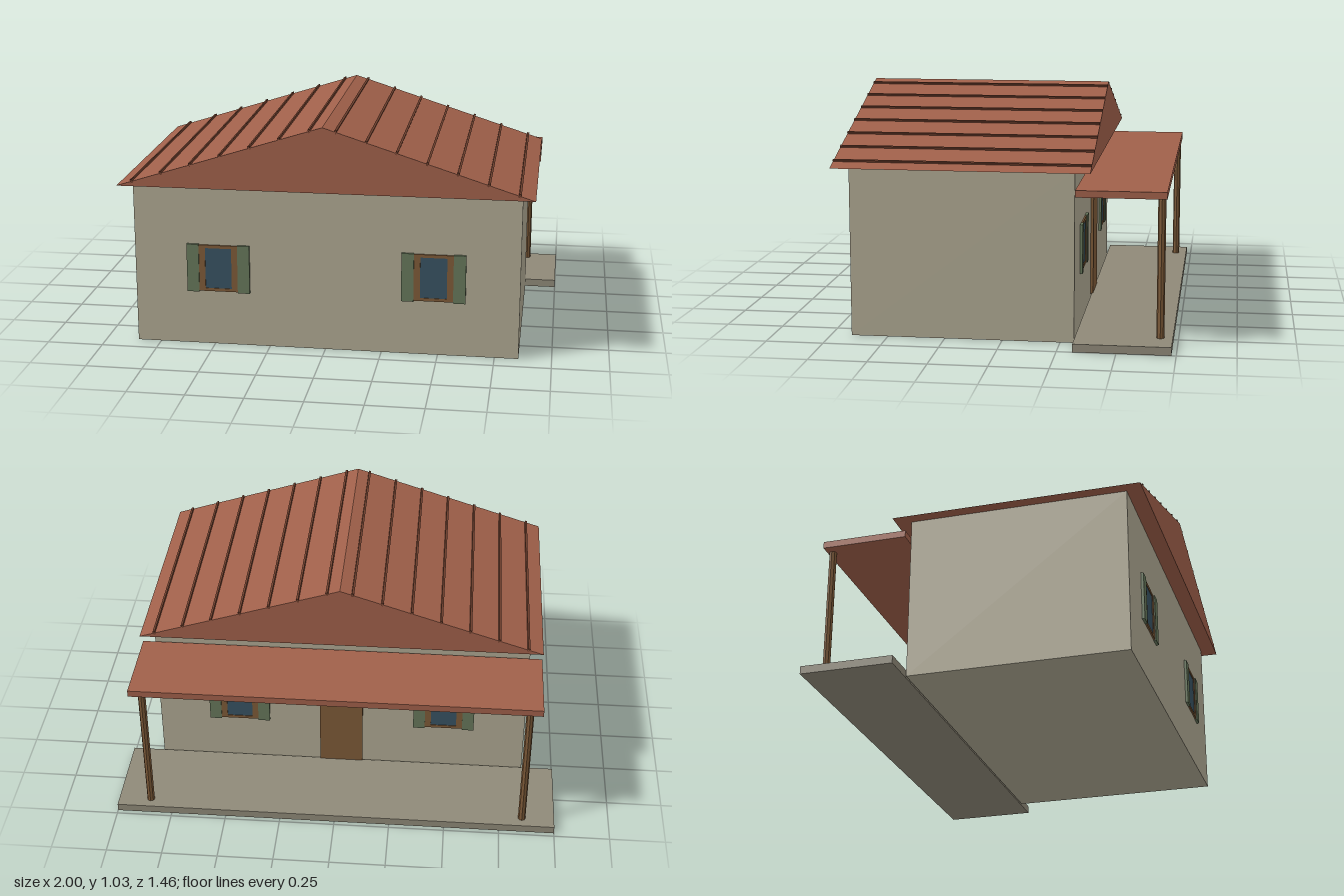
import * as THREE from 'three';

const mat = (color) => new THREE.MeshStandardMaterial({ color, flatShading: true });
const M = {
  wall: mat(0xaea892), roof: mat(0xa0604a), rib: mat(0x6e3f2d), slab: mat(0x8f8978),
  wood: mat(0x7d5a38), glass: mat(0x385262), shutter: mat(0x66775a),
};

// Box given by its lower and upper limits on each axis
function box(parent, name, material, [x0, x1], [y0, y1], [z0, z1]) {
  const mesh = new THREE.Mesh(new THREE.BoxGeometry(x1 - x0, y1 - y0, z1 - z0), material);
  mesh.position.set((x0 + x1) / 2, (y0 + y1) / 2, (z0 + z1) / 2);
  mesh.name = name;
  parent.add(mesh);
  return mesh;
}

// Window facing +z, with its origin on the wall surface
function createWindow() {
  const g = new THREE.Group();
  g.name = 'window';
  const h = [-0.107, 0.107];
  for (const s of [-1, 1]) {
    box(g, 'frameSide', M.wood, [s * 0.073 - 0.014, s * 0.073 + 0.014], h, [-0.01, 0.007]);
    box(g, 'frameRail', M.wood, [-0.059, 0.059], [s * 0.1 - 0.007, s * 0.1 + 0.007], [-0.01, 0.007]);
    box(g, 'shutter', M.shutter, [s * 0.114 - 0.027, s * 0.114 + 0.027], [-0.11, 0.11], [-0.005, 0.012]);
  }
  box(g, 'glass', M.glass, [-0.06, 0.06], [-0.094, 0.094], [-0.01, 0.004]);
  return g;
}

export function createModel() {
  const house = new THREE.Group();
  house.name = 'house';

  const back = -0.31, front = 0.66;
  box(house, 'walls', M.wall, [-0.855, 0.855], [0, 0.74], [back, front]);

  // Gable roof
  const half = 0.91, eave = 0.74, ridge = 1.03, zBack = -0.38, length = 1.11;
  const gable = new THREE.Shape([
    new THREE.Vector2(-half, eave), new THREE.Vector2(half, eave), new THREE.Vector2(0, ridge),
  ]);
  const roof = new THREE.Mesh(new THREE.ExtrudeGeometry(gable, { depth: length, bevelEnabled: false }), M.roof);
  roof.position.z = zBack;
  roof.name = 'roof';
  house.add(roof);

  // Roof ribs running front to back on both slopes
  const slope = Math.atan2(ridge - eave, half);
  for (const s of [-1, 1]) {
    for (let i = 0; i < 7; i++) {
      const x = 0.056 + i * 0.131;
      const rib = box(house, 'roofRib', M.rib, [-0.005, 0.005], [-0.008, 0.008], [zBack, zBack + length]);
      rib.position.x = s * x;
      rib.position.y = ridge - x * (ridge - eave) / half;
      rib.rotation.z = -s * slope;
    }
  }

  // Windows on the front and back walls
  for (const x of [-0.478, 0.478]) {
    const f = createWindow();
    f.position.set(x, 0.357, front);
    const b = createWindow();
    b.position.set(x, 0.357, back);
    b.rotation.y = Math.PI;
    house.add(f, b);
  }
  box(house, 'door', M.wood, [-0.1, 0.1], [0.03, 0.52], [back - 0.013, back + 0.01]);

  // Back porch
  box(house, 'porchFloor', M.slab, [-1, 1], [0, 0.035], [-0.73, -0.317]);
  box(house, 'porchRoof', M.roof, [-half, half], [0.64, 0.67], [-0.7, -0.317]);
  for (const s of [-1, 1]) {
    const post = new THREE.Mesh(new THREE.CylinderGeometry(0.017, 0.017, 0.605, 8), M.wood);
    post.position.set(s * 0.853, 0.3375, -0.677);
    post.name = 'porchPost';
    house.add(post);
  }
  return house;
}
